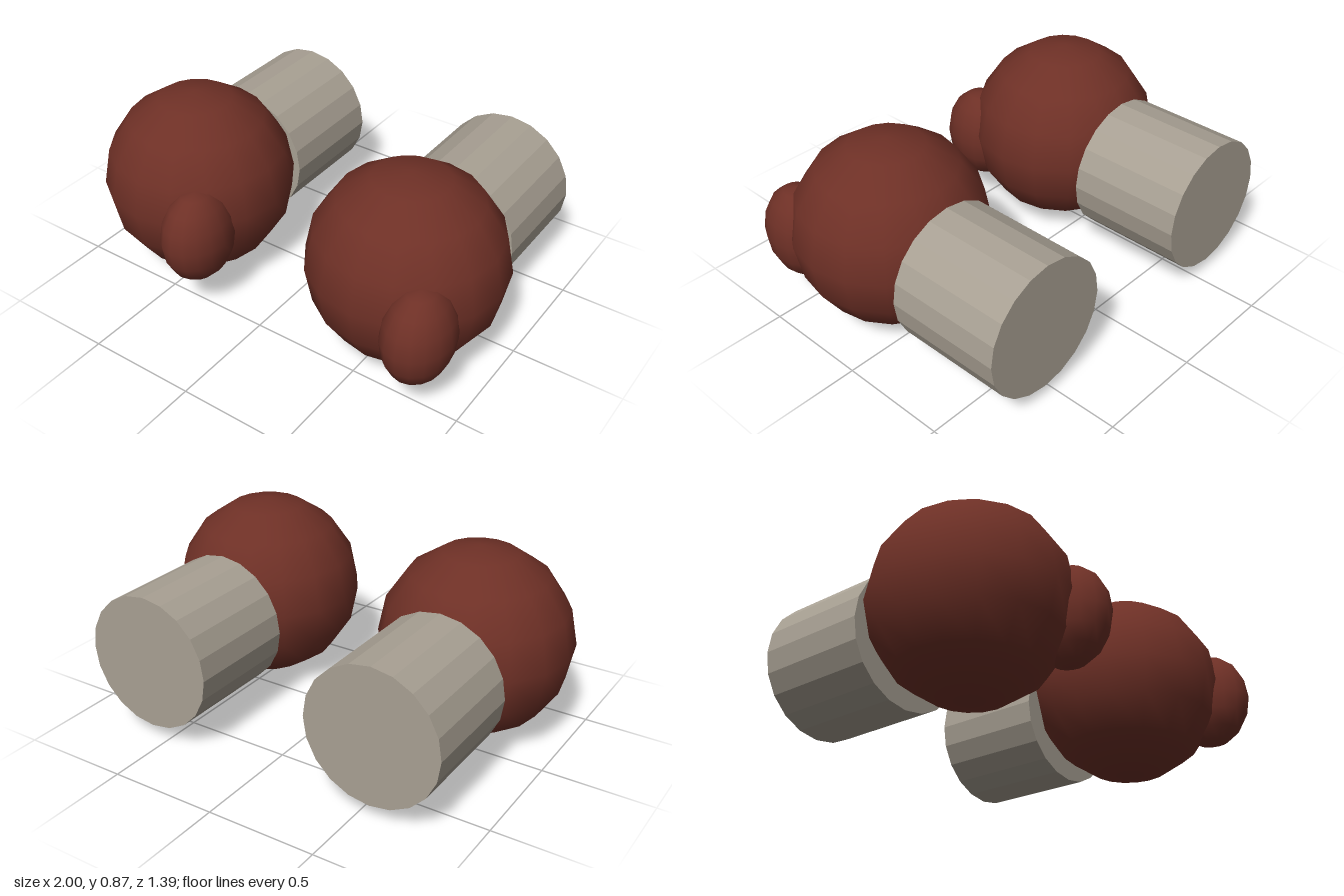
import * as THREE from 'three';

export function createModel() {
  const model = new THREE.Group();
  model.name = 'pairOfBalls';

  const rust = new THREE.MeshStandardMaterial({ color: 0x6e3026 });
  rust.name = 'rust brown';
  // Faceted shaft, smooth balls
  const stone = new THREE.MeshStandardMaterial({ color: 0xa8a093, flatShading: true });
  stone.name = 'stone grey';

  const ballGeometry = new THREE.SphereGeometry(0.437, 16, 8);
  const knobGeometry = new THREE.SphereGeometry(1, 16, 8).scale(0.149, 0.224, 0.187);
  const shaftGeometry = new THREE.CylinderGeometry(0.311, 0.311, 0.543, 20).rotateX(Math.PI / 2);

  function addPart(parent, name, geometry, material, x, y, z) {
    const mesh = new THREE.Mesh(geometry, material);
    mesh.name = name;
    mesh.position.set(x, y, z);
    parent.add(mesh);
  }

  // Two identical units side by side (repeated, not mirrored)
  for (const side of [-1, 1]) {
    const unit = new THREE.Group();
    unit.name = side > 0 ? 'leftUnit' : 'rightUnit';
    unit.position.x = side * 0.563;
    addPart(unit, 'ball', ballGeometry, rust, 0, 0.437, 0.198);
    addPart(unit, 'knob', knobGeometry, rust, 0.247, 0.38, 0.51);
    addPart(unit, 'shaft', shaftGeometry, stone, 0, 0.378, -0.425);
    model.add(unit);
  }
  return model;
}
